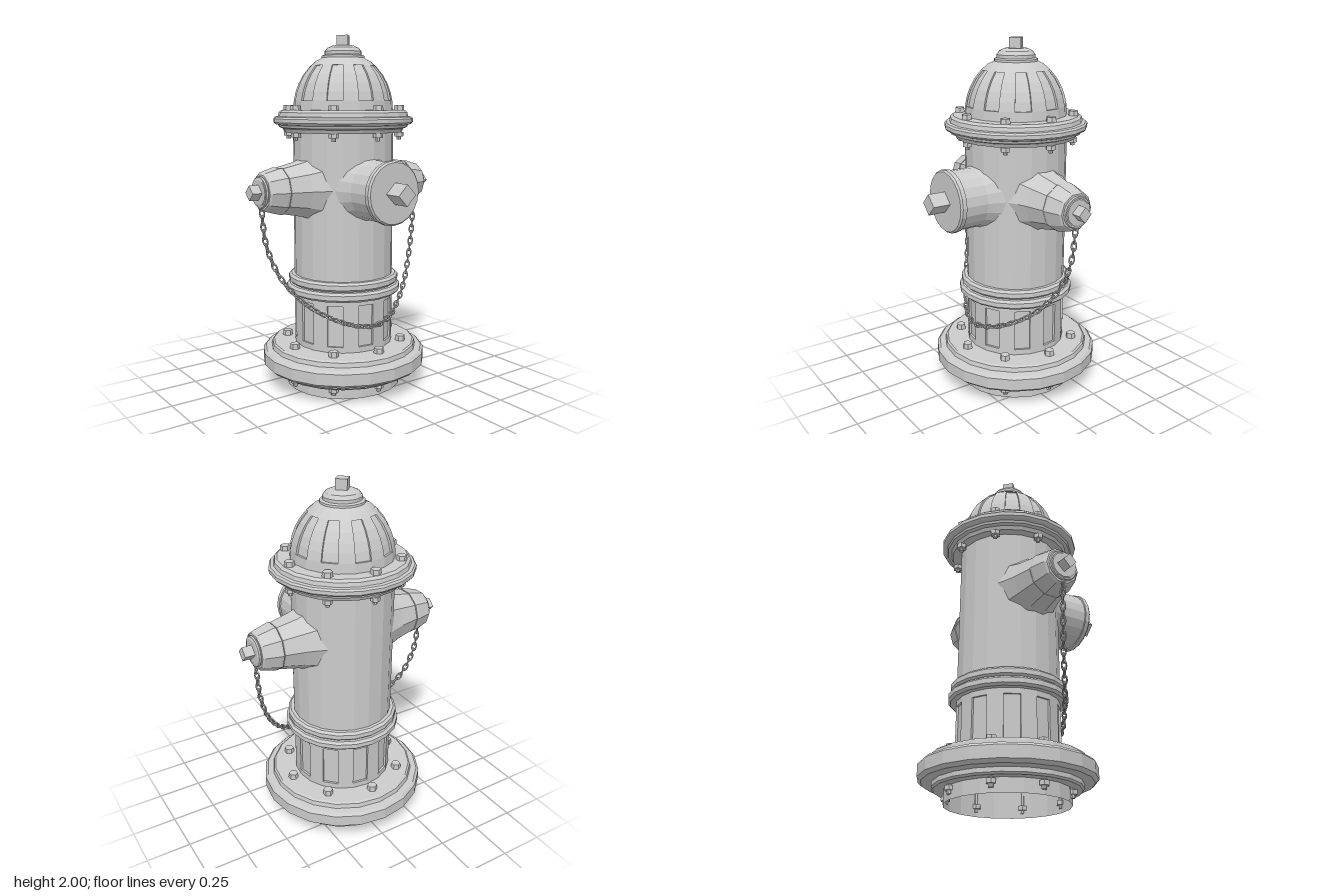
import * as THREE from 'three';

const SIDES = 20;
const STEP = (Math.PI * 2) / SIDES;
const AXIS_Z = -0.045; // the barrel stands slightly behind centre
const NOZZLE_Y = 1.155;

const metal = new THREE.MeshStandardMaterial({ color: 0xcccccc, flatShading: true });
const shell = new THREE.MeshStandardMaterial({ color: 0xcccccc, flatShading: true, side: THREE.DoubleSide });

function add(parent, name, geometry, material = metal) {
  const mesh = new THREE.Mesh(geometry, material);
  mesh.name = name;
  parent.add(mesh);
  return mesh;
}

// Profile is a list of [radius, height], bottom to top
function lathe(profile, sides = SIDES) {
  return new THREE.LatheGeometry(profile.map(([r, y]) => new THREE.Vector2(r, y)), sides);
}

// Raised staves on every second facet; radiusAt(y) is the outer radius
function addRibs(parent, name, y0, y1, rows, depth, radiusAt) {
  const ribs = new THREE.Group();
  ribs.name = name;
  for (let i = 0; i < SIDES; i += 2) {
    const geo = new THREE.BoxGeometry(1, 1, 1, 1, rows, 1);
    const p = geo.attributes.position;
    for (let k = 0; k < p.count; k++) {
      const phi = (i + p.getX(k) + 0.5) * STEP;
      const y = y0 + (y1 - y0) * (p.getY(k) + 0.5);
      const r = radiusAt(y) + (p.getZ(k) - 0.5) * depth * 1.5;
      p.setXYZ(k, r * Math.sin(phi), y, r * Math.cos(phi));
    }
    geo.computeVertexNormals();
    add(ribs, 'rib', geo);
  }
  parent.add(ribs);
}

// Ring of eight through bolts: hex head, shank and hex nut
function addBolts(parent, name, radius, headY, nutY, rodRadius) {
  const ring = new THREE.Group();
  ring.name = name;
  for (let i = 0; i < 8; i++) {
    const a = (i * Math.PI) / 4;
    const bolt = new THREE.Group();
    bolt.name = 'bolt';
    bolt.position.set(radius * Math.sin(a), 0, radius * Math.cos(a));
    add(bolt, 'boltHead', new THREE.CylinderGeometry(0.027, 0.029, 0.032, 6)).position.y = headY;
    add(bolt, 'boltNut', new THREE.CylinderGeometry(0.027, 0.027, 0.024, 6)).position.y = nutY;
    const length = headY - nutY + 0.04;
    add(bolt, 'boltShank', new THREE.CylinderGeometry(rodRadius, rodRadius, length, 8)).position.y = (headY + nutY) / 2 - 0.01;
    ring.add(bolt);
  }
  parent.add(ring);
}

// Square operating nut, turned corner forward, along +y
function addSquareNut(parent, name, width, y0, y1) {
  const nut = add(parent, name, new THREE.BoxGeometry(width, y1 - y0, width));
  nut.position.y = (y0 + y1) / 2;
  nut.rotation.y = Math.PI / 4;
}

function buildBarrel() {
  const barrel = new THREE.Group();
  barrel.name = 'barrel';
  const R = 0.285;
  const DEPTH = 0.012;

  add(barrel, 'footPipe', lathe([[0.335, 0], [0.335, 0.24]]), shell);
  add(barrel, 'baseFlange', lathe([
    [0.335, 0.075], [0.39, 0.075], [0.40, 0.085], [0.40, 0.108], [0.455, 0.112], [0.475, 0.13],
    [0.475, 0.195], [0.46, 0.21], [0.425, 0.215], [0.42, 0.24], [0.41, 0.248], [R, 0.248]]));
  add(barrel, 'body', lathe([
    [R, 0.24], [R, 0.28], [R - DEPTH, 0.28], [R - DEPTH, 0.515], [R, 0.515], [R, 1.49]]), shell);
  addRibs(barrel, 'lowerRibs', 0.28, 0.515, 1, DEPTH, () => R);

  // Two rounded bands round the waist
  for (const [r, y] of [[0.33, 0.572], [0.318, 0.627]]) {
    add(barrel, 'waistBand', lathe([
      [R - 0.01, y - 0.026], [r - 0.014, y - 0.026], [r, y - 0.013], [r, y + 0.013],
      [r - 0.014, y + 0.026], [R - 0.01, y + 0.026]]));
  }

  add(barrel, 'bonnetFlange', lathe([
    [R - 0.01, 1.465], [0.335, 1.465], [0.345, 1.485], [0.365, 1.492], [0.37, 1.505], [0.388, 1.51],
    [0.397, 1.52], [0.397, 1.54], [0.388, 1.55], [0.37, 1.553], [0.365, 1.575], [0.35, 1.588], [R - 0.02, 1.588]]));

  // Domed bonnet with recessed panels between ribs
  const domeRadius = (y) => 0.283 * Math.sqrt(Math.max(0, 1 - ((y - 1.585) / 0.325) ** 2));
  const dome = [[domeRadius(1.585), 1.585], [domeRadius(1.64), 1.64]];
  for (let i = 0; i <= 4; i++) {
    const y = 1.64 + (0.19 * i) / 4;
    dome.push([domeRadius(y) - DEPTH, y]);
  }
  dome.push([domeRadius(1.83), 1.83], [domeRadius(1.86), 1.86], [0.11, 1.88]);
  add(barrel, 'dome', lathe(dome));
  addRibs(barrel, 'domeRibs', 1.64, 1.83, 4, DEPTH, domeRadius);

  add(barrel, 'domeCap', lathe([
    [0.10, 1.865], [0.12, 1.872], [0.12, 1.887], [0.105, 1.893], [0.105, 1.91], [0.09, 1.93], [0.06, 1.943], [0, 1.943]]));
  addSquareNut(barrel, 'topNut', 0.064, 1.93, 2.0);

  addBolts(barrel, 'baseBolts', 0.338, 0.262, 0.055, 0.014);
  addBolts(barrel, 'bonnetBolts', 0.318, 1.598, 1.453, 0.012);
  return barrel;
}

// Side outlet built along +y, later turned outwards
function buildSideNozzle(name) {
  const nozzle = new THREE.Group();
  nozzle.name = name;
  add(nozzle, 'outletNeck', lathe([[0.195, 0.2], [0.172, 0.26], [0.155, 0.31], [0.13, 0.425], [0, 0.425]], 10));
  add(nozzle, 'outletCap', lathe([
    [0, 0.43], [0.132, 0.43], [0.132, 0.445], [0.108, 0.53], [0.098, 0.54], [0, 0.54]], 10));
  add(nozzle, 'capCollar', lathe([[0.08, 0.535], [0.08, 0.55], [0.07, 0.556], [0, 0.556]], 12));
  const loop = add(nozzle, 'chainLoop', new THREE.TorusGeometry(0.078, 0.009, 6, 20));
  loop.rotation.x = Math.PI / 2;
  loop.position.y = 0.545;
  addSquareNut(nozzle, 'capNut', 0.058, 0.55, 0.612);
  nozzle.position.set(0, NOZZLE_Y, AXIS_Z);
  return nozzle;
}

function buildFrontNozzle() {
  const nozzle = new THREE.Group();
  nozzle.name = 'frontNozzle';
  add(nozzle, 'pumperNeck', lathe([[0.2, 0.15], [0.18, 0.2], [0.165, 0.25], [0.165, 0.39]]));
  add(nozzle, 'pumperCap', lathe([
    [0.15, 0.385], [0.174, 0.385], [0.174, 0.41], [0.165, 0.42], [0, 0.42]]));
  addSquareNut(nozzle, 'pumperNut', 0.082, 0.41, 0.52);
  nozzle.position.y = NOZZLE_Y;
  nozzle.rotation.x = Math.PI / 2;
  return nozzle;
}

// Chain hanging from both side caps and sagging across the front
function buildChain() {
  const chain = new THREE.Group();
  chain.name = 'chain';
  const half = [
    [0.54, 1.08, -0.045], [0.52, 0.87, -0.035], [0.46, 0.69, 0.005], [0.365, 0.555, 0.075],
    [0.25, 0.465, 0.15], [0.125, 0.41, 0.22]];
  const mirrored = half.map(([x, y, z]) => [-x, y, z]).reverse();
  const curve = new THREE.CatmullRomCurve3(
    [...half, [0, 0.392, 0.25], ...mirrored].map((p) => new THREE.Vector3(...p)));
  const count = 54;
  const link = new THREE.TorusGeometry(0.0125, 0.0048, 5, 12);
  link.scale(1.9, 1, 1);
  const basis = new THREE.Matrix4();
  const up = new THREE.Vector3(0, 0, 1);
  for (let i = 0; i <= count; i++) {
    const t = curve.getTangentAt(i / count);
    const side = new THREE.Vector3().crossVectors(up, t).normalize();
    const normal = new THREE.Vector3().crossVectors(t, side);
    const mesh = add(chain, 'chainLink', link);
    mesh.quaternion.setFromRotationMatrix(basis.makeBasis(t, side, normal));
    mesh.rotateX(Math.PI / 4 + (i % 2) * (Math.PI / 2));
    mesh.position.copy(curve.getPointAt(i / count));
  }
  return chain;
}

export function createModel() {
  const model = new THREE.Group();
  model.name = 'fireHydrant';
  const barrel = buildBarrel();
  barrel.position.z = AXIS_Z;
  model.add(barrel);

  const left = buildSideNozzle('leftNozzle');
  left.rotation.z = -Math.PI / 2;
  const right = buildSideNozzle('rightNozzle');
  right.rotation.z = Math.PI / 2;
  model.add(left, right, buildFrontNozzle(), buildChain());
  return model;
}
